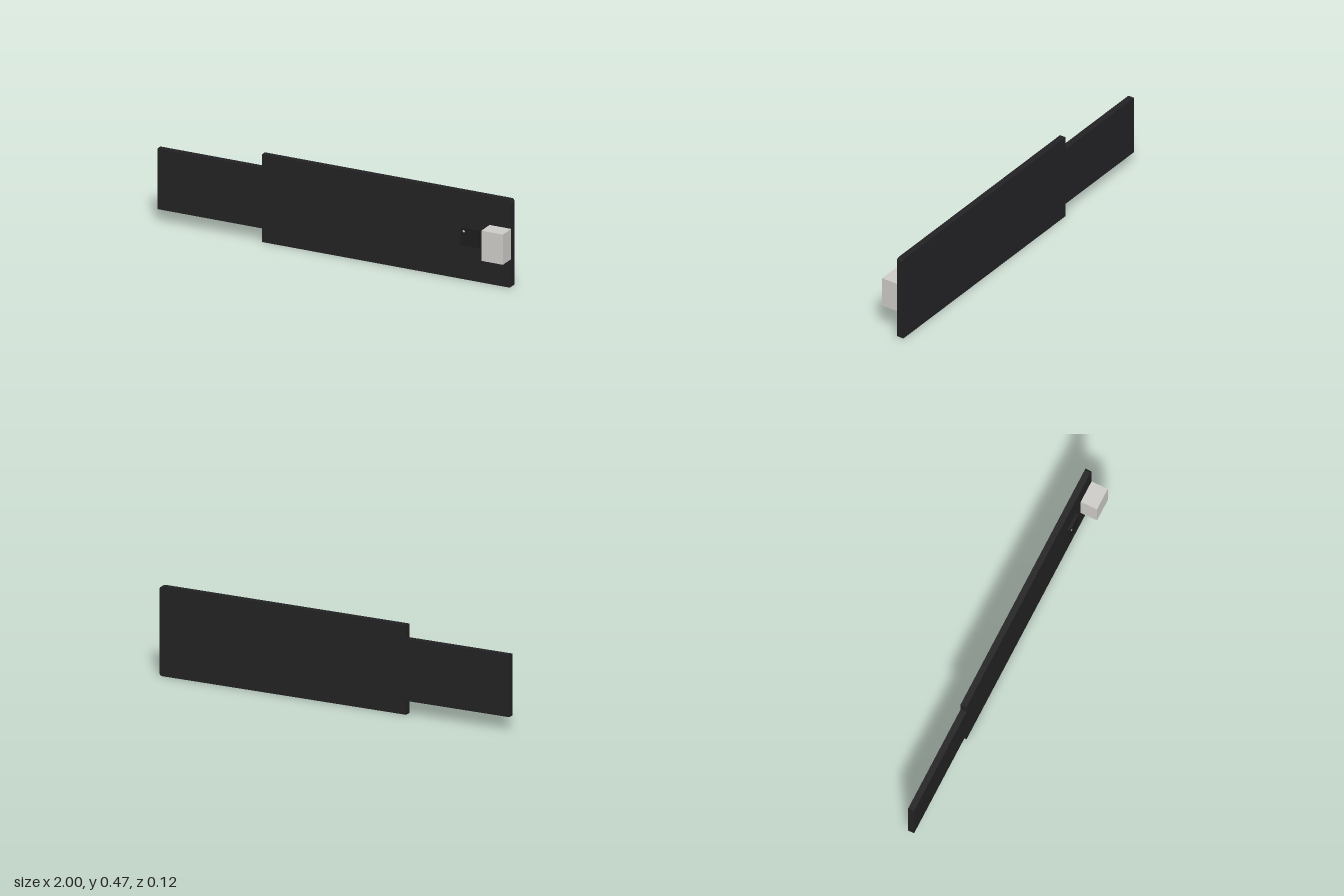
import * as THREE from 'three';

export function createModel() {
  const group = new THREE.Group();
  const material = (color) => new THREE.MeshStandardMaterial({ color });
  const add = (name, geometry, color) => {
    const mesh = new THREE.Mesh(geometry, material(color));
    mesh.name = name;
    group.add(mesh);
    return mesh;
  };
  // Box given by its lower and upper corners
  const addBox = (name, [x0, y0, z0], [x1, y1, z1], color) =>
    add(name, new THREE.BoxGeometry(x1 - x0, y1 - y0, z1 - z0), color)
      .position.set((x0 + x1) / 2, (y0 + y1) / 2, (z0 + z1) / 2);

  const back = -0.062, face = -0.029, height = 0.47, r = 0.016;

  // Circuit board: wide body with rounded end corners and a narrower tab
  const outline = new THREE.Shape();
  outline.moveTo(-1, 0.073);
  outline.lineTo(-0.41, 0.073);
  outline.lineTo(-0.41, 0);
  outline.lineTo(1 - r, 0);
  outline.absarc(1 - r, r, r, -Math.PI / 2, 0, false);
  outline.lineTo(1, height - r);
  outline.absarc(1 - r, height - r, r, 0, Math.PI / 2, false);
  outline.lineTo(-0.41, height);
  outline.lineTo(-0.41, 0.398);
  outline.lineTo(-1, 0.398);
  outline.closePath();
  const board = new THREE.ExtrudeGeometry(outline, {
    depth: face - back, bevelEnabled: false, curveSegments: 6,
  });
  add('board', board, 0x222224).position.z = back;

  // Chip with its pin-one dot
  addBox('chip', [0.721, 0.188, face], [0.823, 0.284, -0.012], 0x1c1c1e);
  const dot = add('chipDot', new THREE.CylinderGeometry(0.006, 0.006, 0.002, 16), 0xcccccc);
  dot.rotation.x = Math.PI / 2;
  dot.position.set(0.739, 0.265, -0.0115);

  // Connector block at the end of the board
  addBox('connector', [0.876, 0.155, face], [0.998, 0.317, 0.062], 0xcccbc7);

  return group;
}
